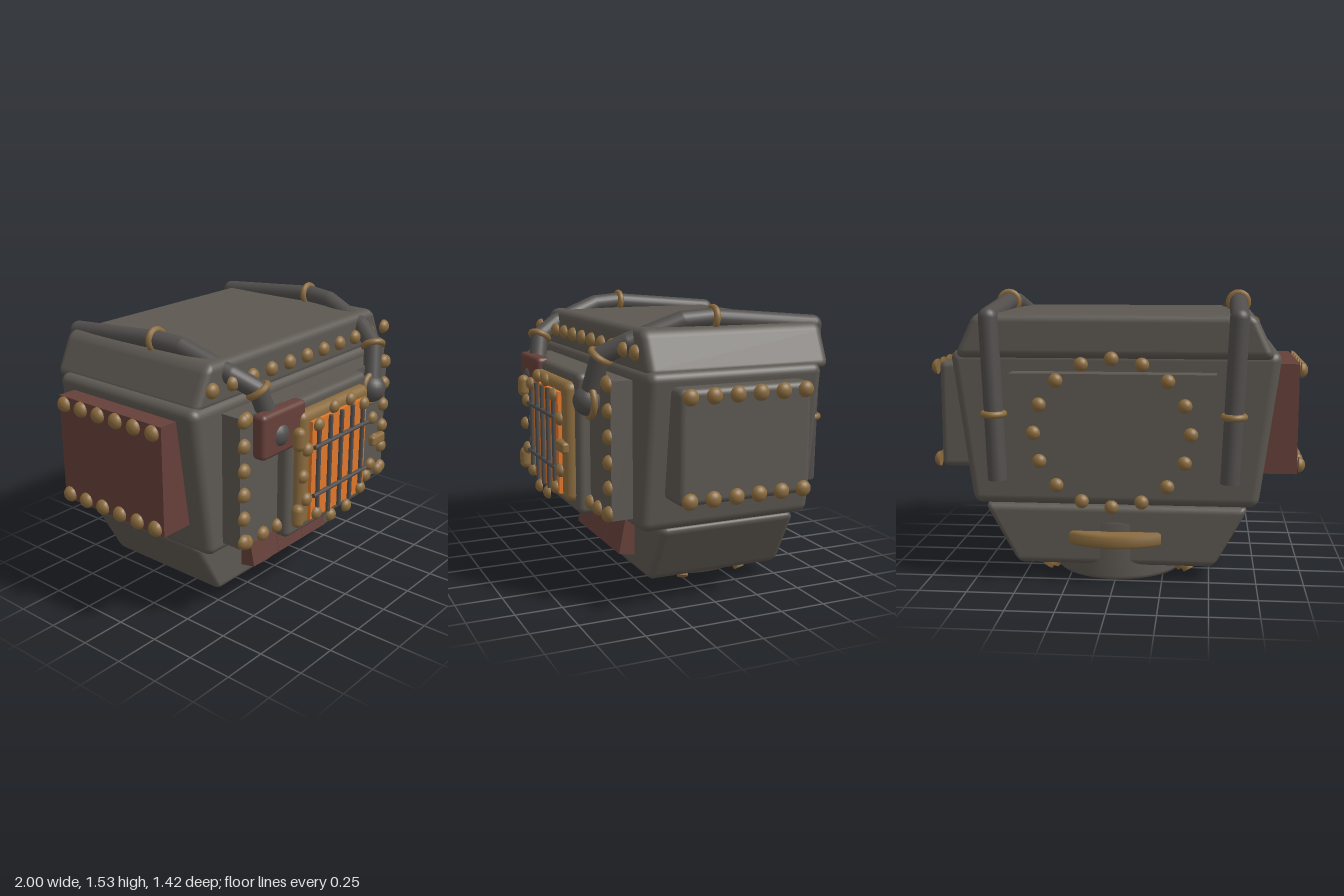
import * as THREE from 'three';
import { RoundedBoxGeometry } from 'three/addons/geometries/RoundedBoxGeometry.js';

const mat = (name, color) => Object.assign(new THREE.MeshStandardMaterial({ color }), { name });

export function createModel() {
  const root = new THREE.Group();
  root.name = 'helmet';
  const iron = mat('iron', 0x5c5751);
  const pipeMat = mat('pipe grey', 0x514e4c);
  const brass = mat('brass', 0x8a6b3e);
  const rust = mat('rust red', 0x66403a);
  const glow = mat('glowing orange', 0xe0762a);

  const add = (name, geo, material, x = 0, y = 0, z = 0, parent = root) => {
    const m = new THREE.Mesh(geo, material);
    m.name = name;
    m.position.set(x, y, z);
    parent.add(m);
    return m;
  };

  // Box given by its limits; r > 0 rounds the edges
  const block = (name, material, [x0, x1], [y0, y1], [z0, z1], r = 0) => {
    const s = [x1 - x0, y1 - y0, z1 - z0];
    const geo = r ? new RoundedBoxGeometry(...s, 4, r) : new THREE.BoxGeometry(...s);
    return add(name, geo, material, (x0 + x1) / 2, (y0 + y1) / 2, (z0 + z1) / 2);
  };

  // Rounded block whose half width changes from bottom to top
  const tapered = (name, bottom, top, y, z, r) => {
    const w = Math.max(bottom, top);
    const m = block(name, iron, [-w, w], y, z, r);
    const p = m.geometry.attributes.position, n = m.geometry.attributes.normal;
    const h = y[1] - y[0], slope = (top - bottom) / w / h;
    const v = new THREE.Vector3();
    for (let i = 0; i < p.count; i++) {
      const s = bottom / w + slope * (p.getY(i) + h / 2);
      v.set(n.getX(i) / s, n.getY(i) - n.getX(i) * p.getX(i) * slope / s, n.getZ(i)).normalize();
      n.setXYZ(i, v.x, v.y, v.z);
      p.setX(i, p.getX(i) * s);
    }
  };

  // Domed rivets, flat side on the given point, dome along dir
  const up = new THREE.Vector3(0, 1, 0);
  const dome = new THREE.SphereGeometry(1, 16, 8, 0, Math.PI * 2, 0, Math.PI / 2);
  const disc = new THREE.CircleGeometry(1, 16).rotateX(Math.PI / 2);
  const rivet = (x, y, z, dir, r = 0.04, depth = 0.035) => {
    const g = new THREE.Group();
    g.name = 'rivet';
    add('rivetDome', dome, brass, 0, 0, 0, g);
    add('rivetBack', disc, brass, 0, 0, 0, g);
    g.scale.set(r, depth, r);
    g.position.set(x, y, z);
    g.quaternion.setFromUnitVectors(up, new THREE.Vector3(...dir));
    root.add(g);
  };
  const rivetRing = (count, rx, ry, y, z, dz, r) => {
    for (let i = 0; i < count; i++) {
      const a = Math.PI + i / count * Math.PI * 2;
      rivet(rx * Math.cos(a), y + ry * Math.sin(a), z, [0, 0, dz], r, 0.032);
    }
  };

  // Main shells
  tapered('mainBody', 0.75, 0.86, [0.42, 1.235], [-0.55, 0.42], 0.05);
  tapered('topCap', 0.825, 0.715, [1.2, 1.43], [-0.615, 0.4], 0.045);
  tapered('lowerBody', 0.525, 0.71, [0.08, 0.412], [-0.5, 0.28], 0.04);

  // Round collar with a softened lower edge
  const collar = [[0, 0], [0.325, 0], [0.343, 0.007], [0.35, 0.025], [0.35, 0.31], [0.33, 0.33], [0, 0.33]];
  add('baseCollar', new THREE.LatheGeometry(collar.map(p => new THREE.Vector2(...p)), 48), iron, 0, 0, -0.16);

  // Collar bolts, tilted outward and down
  for (const sx of [-1, 1]) for (const sz of [-1, 1]) {
    const g = new THREE.Group();
    g.name = 'collarBolt';
    add('boltWasher', new THREE.CylinderGeometry(0.055, 0.055, 0.03, 20), brass, 0, 0, 0, g);
    add('boltHead', new THREE.CylinderGeometry(0.03, 0.035, 0.03, 12), brass, 0, 0.025, 0, g);
    g.position.set(sx * 0.37, 0.055, -0.16 + sz * 0.17);
    g.quaternion.setFromUnitVectors(up, new THREE.Vector3(sx * 0.5, -0.84, sz * 0.2).normalize());
    root.add(g);
  }

  // Curved rear handle
  const grip = [[0.35, 0.195], [0.41, 0.195], [0.425, 0.21], [0.425, 0.255], [0.41, 0.27], [0.35, 0.27]];
  add('rearHandle', new THREE.LatheGeometry(grip.map(p => new THREE.Vector2(...p)), 24, Math.PI - 0.62, 1.24),
    brass, 0, 0, -0.16).material.side = THREE.DoubleSide;

  // Chin plates
  for (let i = -1; i <= 1; i++) {
    const m = add('chinPlate', new THREE.BoxGeometry(0.222, 0.19, 0.1), rust, i * 0.224 - 0.003, 0.265, 0.302);
    m.rotation.x = -0.19;
  }

  // Face and rear plates
  block('facePlate', iron, [-0.655, 0.655], [0.475, 1.178], [0.38, 0.535]);
  block('rearPlate', iron, [-0.525, 0.525], [0.52, 1.13], [-0.66, -0.5]);
  rivetRing(16, 0.4, 0.38, 0.83, -0.68, -1, 0.037);
  for (const s of [-1, 1]) {
    for (let i = 0; i < 6; i++) rivet(s * 0.632, 0.51 + i * 0.13, 0.535, [0, 0, 1]);
    rivet(s * 0.615, 1.165, 0.535, [0, 0, 1]);
    for (const x of [0.61, 0.48, 0.36]) rivet(s * x, 0.5, 0.535, [0, 0, 1]);
  }
  for (let i = -5; i <= 5; i++) rivet(i * 0.15, 1.325, 0.44, [0, 0, 1]);

  // Side plates
  block('leftSidePlate', iron, [0.74, 0.947], [0.59, 1.165], [-0.43, 0.3], 0.035);
  block('rightSidePlate', rust, [-0.953, -0.74], [0.585, 1.165], [-0.43, 0.3]);
  for (const s of [-1, 1]) for (const y of [0.625, 1.13]) for (let i = 0; i < 6; i++)
    rivet(s * 0.965, y, 0.255 - i * 0.126, [s, 0, 0], 0.042);

  // Furnace door
  block('doorBack', iron, [-0.355, 0.355], [0.43, 1.18], [0.5, 0.6], 0.035);
  block('doorFrame', brass, [-0.305, 0.31], [0.49, 1.128], [0.55, 0.65], 0.04);
  block('doorWindow', glow, [-0.245, 0.245], [0.53, 1.075], [0.63, 0.67]);
  for (let i = -2; i <= 2; i++)
    add('windowBar', new THREE.CylinderGeometry(0.012, 0.012, 0.545, 10), pipeMat, i * 0.1, 0.803, 0.68);
  for (const y of [0.67, 0.94])
    add('windowCrossbar', new THREE.CylinderGeometry(0.012, 0.012, 0.49, 10), pipeMat, 0, y, 0.685).rotation.z = Math.PI / 2;
  rivetRing(14, 0.33, 0.317, 0.808, 0.675, 1, 0.037);
  block('doorLatch', brass, [0.285, 0.41], [0.78, 0.838], [0.665, 0.705], 0.015);
  for (const y of [0.598, 1.02])
    add('doorHinge', new THREE.CapsuleGeometry(0.033, 0.06, 4, 14), brass, -0.365, y, 0.675);
  block('patchPlate', rust, [-0.59, -0.245], [0.955, 1.19], [0.55, 0.63], 0.025);

  // Pipes over the top, one on each side
  const route = [[0.445, 1.055, 0.575], [0.51, 1.285, 0.53], [0.575, 1.355, 0.41], [0.63, 1.455, 0.14],
    [0.645, 1.465, 0], [0.635, 1.41, -0.612], [0.6, 0.57, -0.62]];
  const r = 0.05;
  for (const s of [-1, 1]) {
    const pts = route.map(([x, y, z]) => new THREE.Vector3(s * x, y, z));
    const pipe = new THREE.Group();
    pipe.name = s > 0 ? 'leftPipe' : 'rightPipe';
    root.add(pipe);
    for (let i = 0; i < pts.length - 1; i++) {
      const d = pts[i + 1].clone().sub(pts[i]);
      const mid = pts[i].clone().addScaledVector(d, 0.5);
      add('pipeSection', new THREE.CylinderGeometry(r, r, d.length(), 20), pipeMat, ...mid, pipe)
        .quaternion.setFromUnitVectors(up, d.normalize());
      add('pipeJoint', new THREE.SphereGeometry(i ? r : 0.078, 20, 14), pipeMat, ...pts[i], pipe);
    }
    const clamp = (x, y, z, dir, radius = 0.052) =>
      add('pipeClamp', new THREE.TorusGeometry(radius, 0.018, 10, 28), brass, s * x, y, z, pipe)
        .quaternion.setFromUnitVectors(new THREE.Vector3(0, 0, 1), new THREE.Vector3(s * dir[0], dir[1], dir[2]).normalize());
    clamp(0.445, 1.055, 0.57, [0, 0, 1], 0.08);
    clamp(0.51, 1.285, 0.53, [0.35, 0.8, -0.45]);
    clamp(0.644, 1.465, -0.02, [0, -0.09, -1]);
    clamp(0.615, 0.915, -0.617, [0, 1, 0]);
  }
  return root;
}
